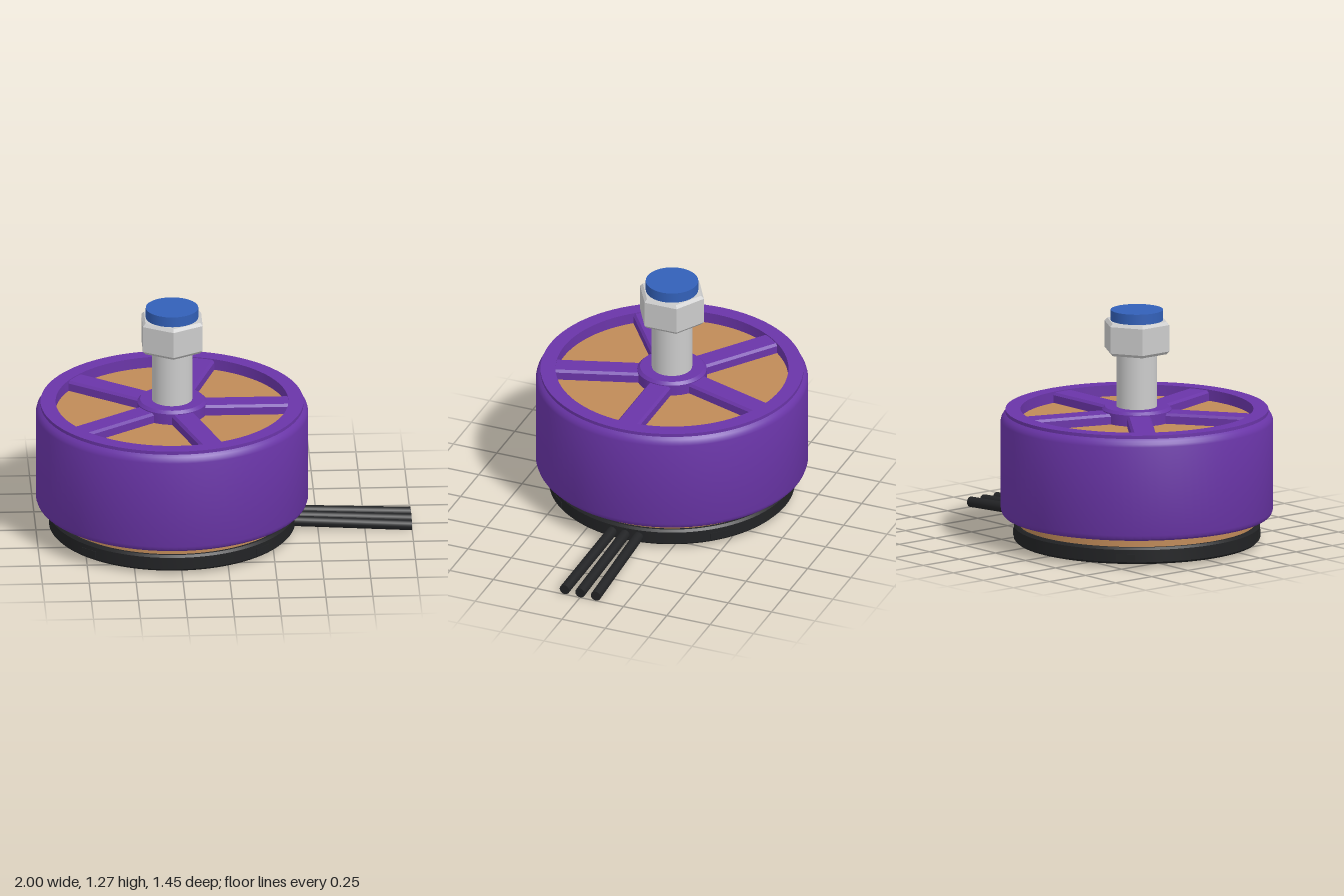
import * as THREE from 'three';
import { toCreasedNormals } from 'three/addons/utils/BufferGeometryUtils.js';

const mat = (color) => new THREE.MeshStandardMaterial({ color });
const purple = mat(0x6a35a8), copper = mat(0xc08a58), black = mat(0x222325);
const steel = mat(0xcccccc), blue = mat(0x3260b8);

function add(parent, name, geometry, material) {
  const mesh = new THREE.Mesh(geometry, material);
  mesh.name = name;
  parent.add(mesh);
  return mesh;
}

// Turned part from [radius, height] pairs, listed upwards along the outside
function turned(profile, segments = 96) {
  const points = profile.map(([r, y]) => new THREE.Vector2(r, y));
  return toCreasedNormals(new THREE.LatheGeometry(points, segments), 0.45);
}

export function createModel() {
  const model = new THREE.Group();
  model.name = 'brushlessMotor';
  const motor = new THREE.Group();
  motor.name = 'motorBody';
  motor.position.x = -0.275;
  model.add(motor);

  // Base plate with four small side tabs
  add(motor, 'base', turned([
    [0, 0.02], [0.643, 0.02], [0.655, 0.032], [0.655, 0.098], [0.643, 0.11], [0, 0.11],
  ]), black);
  for (let i = 0; i < 4; i++) {
    const a = Math.PI / 4 + i * Math.PI / 2;
    const tab = add(motor, 'baseTab', new THREE.BoxGeometry(0.04, 0.038, 0.1), black);
    tab.position.set(0.637 * Math.cos(a), 0.057, -0.637 * Math.sin(a));
    tab.rotation.y = a;
  }

  // Copper stator
  add(motor, 'stator', turned([[0, 0.1], [0.63, 0.1], [0.63, 0.67], [0, 0.67]]), copper);

  // Hollow bell with stepped top rim
  add(motor, 'bell', turned([
    [0.67, 0.16], [0.708, 0.16], [0.718, 0.17], [0.725, 0.19], [0.725, 0.67],
    [0.721, 0.685], [0.712, 0.7], [0.699, 0.712], [0.7, 0.712], [0.7, 0.73],
    [0.62, 0.73], [0.62, 0.66], [0.67, 0.66], [0.67, 0.16],
  ]), purple);

  // Five bevelled spokes
  const section = new THREE.Shape([
    [-0.064, 0.66], [0.064, 0.66], [0.064, 0.712], [0.052, 0.725],
    [-0.052, 0.725], [-0.064, 0.712],
  ].map(([x, y]) => new THREE.Vector2(x, y)));
  const spokeGeometry = new THREE.ExtrudeGeometry(section, { depth: 0.53, bevelEnabled: false });
  spokeGeometry.translate(0, 0, 0.1).rotateY(Math.PI / 2);
  for (let i = 0; i < 5; i++) {
    add(motor, 'spoke', spokeGeometry, purple).rotation.y = i * Math.PI * 2 / 5;
  }

  // Hub, shaft, nut and shaft cap
  add(motor, 'hub', turned([
    [0, 0.66], [0.185, 0.66], [0.185, 0.73], [0.17, 0.745], [0, 0.745],
  ], 64), purple);
  add(motor, 'shaft', new THREE.CylinderGeometry(0.108, 0.108, 0.36, 48), steel).position.y = 0.88;
  add(motor, 'nut', turned([
    [0, 1.038], [0.168, 1.038], [0.184, 1.054], [0.184, 1.198], [0.168, 1.214], [0, 1.214],
  ], 6), steel);
  add(motor, 'shaftCap', new THREE.CylinderGeometry(0.14, 0.14, 0.08, 48), blue).position.y = 1.23;

  // Three lead wires fanning out slightly
  for (const side of [-1, 0, 1]) {
    const start = new THREE.Vector3(0.3, 0.062, side * 0.073);
    const end = new THREE.Vector3(0.999, 0.029, side * 0.09);
    const direction = end.clone().sub(start);
    const wire = add(model, 'leadWire',
      new THREE.CylinderGeometry(0.028, 0.028, direction.length(), 20), black);
    wire.position.copy(start).add(end).multiplyScalar(0.5);
    wire.quaternion.setFromUnitVectors(new THREE.Vector3(0, 1, 0), direction.normalize());
  }
  return model;
}
